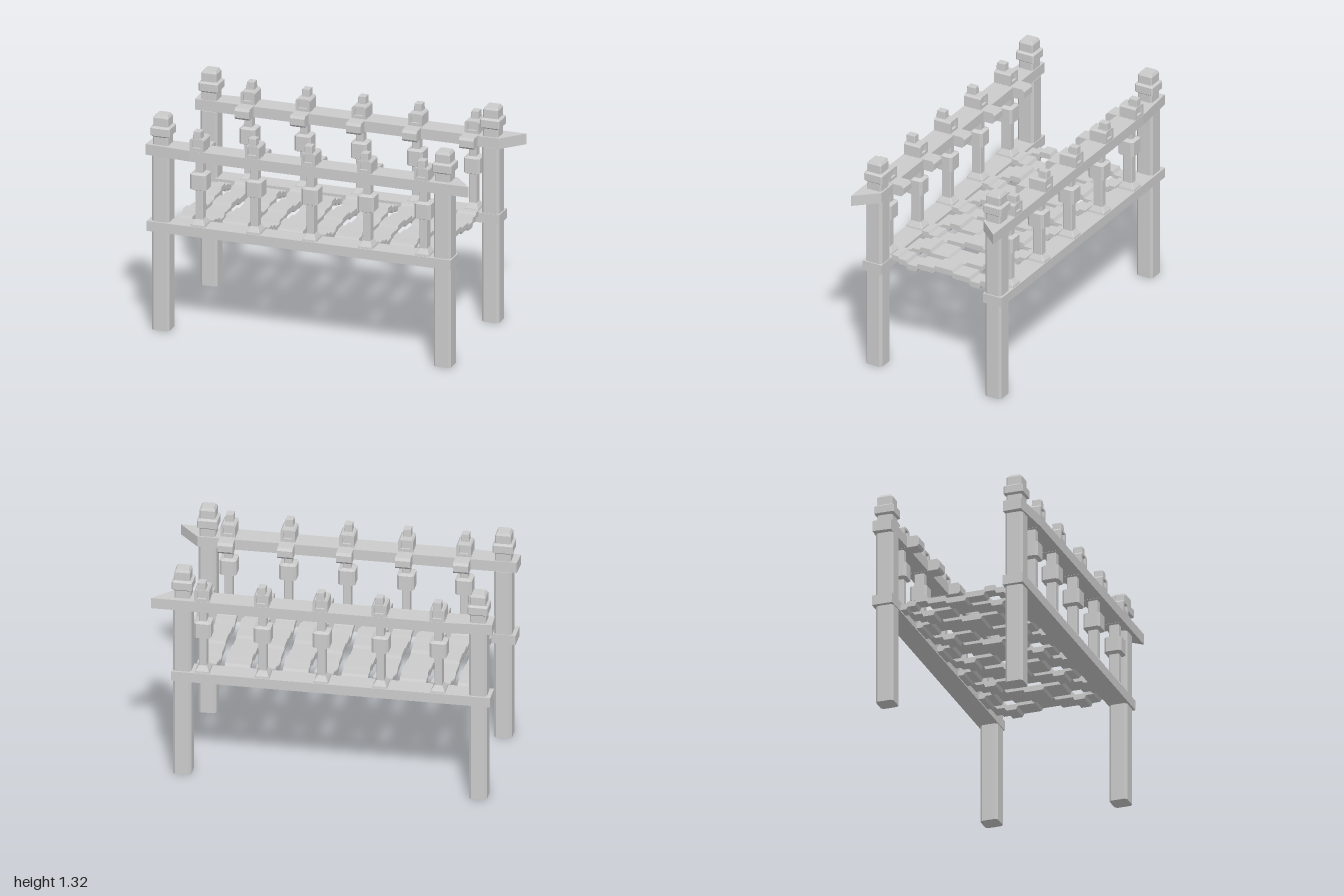
import * as THREE from 'three';

const material = new THREE.MeshStandardMaterial({ color: 0xcccccc, flatShading: true });

function add(parent, name, geometry, x = 0, y = 0, z = 0) {
  const mesh = new THREE.Mesh(geometry, material);
  mesh.name = name;
  mesh.position.set(x, y, z);
  parent.add(mesh);
  return mesh;
}

// Stack of chamfered rectangles: each ring is [y, halfWidth, halfDepth, chamfer]
function chamferedStack(rings) {
  const pos = [], index = [];
  for (const [y, w, d, c] of rings) {
    const ring = [[w, -d + c], [w, d - c], [w - c, d], [-w + c, d],
      [-w, d - c], [-w, -d + c], [-w + c, -d], [w - c, -d]];
    for (const [x, z] of ring) pos.push(x, y, z);
  }
  for (let i = 0; i < rings.length - 1; i++) {
    for (let j = 0; j < 8; j++) {
      const a = i * 8 + j, b = i * 8 + (j + 1) % 8;
      index.push(a, a + 8, b, b, a + 8, b + 8);
    }
  }
  const top = (rings.length - 1) * 8;
  for (let j = 1; j < 7; j++) index.push(0, j, j + 1, top, top + j + 1, top + j);
  const g = new THREE.BufferGeometry();
  g.setAttribute('position', new THREE.Float32BufferAttribute(pos, 3));
  g.setIndex(index);
  const flat = g.toNonIndexed();
  flat.computeVertexNormals();
  return flat;
}

const shapeOf = (pts) => new THREE.Shape(pts.map(([a, b]) => new THREE.Vector2(a, b)));
const extrude = (shape, depth) => new THREE.ExtrudeGeometry(shape, { depth, bevelEnabled: false });

// Outline given as [z, y], extruded along x and centred on it
function extrudeAlongX(pts, width) {
  const g = extrude(shapeOf(pts.map(([z, y]) => [-z, y])), width);
  g.translate(0, 0, -width / 2);
  g.rotateY(Math.PI / 2);
  return g;
}

// Woven slat: steps up and down across the bridge
function slatGeometry(width, sign) {
  const level = { end: -0.014 * sign, flat: 0, side: 0.02 * sign, mid: -0.016 * sign };
  const half = [[0.345, 'end'], [0.305, 'end'], [0.295, 'flat'], [0.25, 'flat'], [0.24, 'side'],
    [0.18, 'side'], [0.17, 'flat'], [0.065, 'flat'], [0.055, 'mid']];
  const line = [...half, ...half.slice().reverse().map(([z, k]) => [-z, k])];
  const top = line.map(([z, k]) => [z, 0.665 + level[k]]);
  const bottom = line.map(([z, k]) => [z, 0.631 + level[k]]).reverse();
  return extrudeAlongX([...top, ...bottom], width);
}

export function createModel() {
  const model = new THREE.Group();
  model.name = 'bridge';

  // Post with neck, collar and cap
  const postGeometry = chamferedStack([
    [0, 0.053, 0.054, 0.014], [1.07, 0.053, 0.054, 0.014],
    [1.07, 0.047, 0.047, 0.008], [1.185, 0.047, 0.047, 0.008],
    [1.195, 0.06, 0.06, 0.008], [1.24, 0.06, 0.06, 0.008],
    [1.25, 0.046, 0.046, 0.006], [1.3, 0.046, 0.046, 0.006], [1.316, 0.036, 0.036, 0.005],
  ]);

  // Baluster with flared foot and a thick block
  const balusterGeometry = chamferedStack([
    [0.66, 0.045, 0.055, 0.004], [0.68, 0.04, 0.052, 0.004], [0.71, 0.023, 0.03, 0.004],
    [0.885, 0.023, 0.03, 0.004], [0.895, 0.05, 0.052, 0.014],
    [0.985, 0.05, 0.052, 0.014], [0.995, 0.023, 0.03, 0.004], [1.08, 0.023, 0.03, 0.004],
  ]);

  // Rail-top block: square frame with a panel set back on both faces
  const frame = shapeOf([[-0.043, 0], [0.043, 0], [0.043, 0.068], [0.034, 0.078], [-0.034, 0.078], [-0.043, 0.068]]);
  frame.holes.push(new THREE.Path([[-0.026, 0.022], [-0.026, 0.064], [0.026, 0.064], [0.026, 0.022]]
    .map(([x, y]) => new THREE.Vector2(x, y))));
  const frameGeometry = extrude(frame, 0.11);
  frameGeometry.translate(0, 0, -0.055);
  const panelGeometry = new THREE.BoxGeometry(0.054, 0.044, 0.08);
  const knobGeometry = chamferedStack([[0, 0.024, 0.029, 0.003], [0.045, 0.022, 0.027, 0.003]]);

  // Chamfered bracket that crosses under each rail-top block
  const bracketGeometry = extrudeAlongX([[-0.102, -0.018], [-0.088, -0.033], [0.088, -0.033], [0.1, -0.02],
    [0.1, 0.02], [0.088, 0.035], [-0.088, 0.035], [-0.102, 0.02]], 0.09);

  for (const side of [1, -1]) {
    const half = new THREE.Group();
    half.name = side > 0 ? 'frontSide' : 'backSide';
    model.add(half);

    for (const x of [-0.908, 0.824]) add(half, 'post', postGeometry, x, 0, side * 0.397);

    // Handrail: narrowed at one end, cut to a point at the other
    const rail = extrude(shapeOf([[-0.99, 0.345], [0.88, 0.34], [1, 0.475], [-0.72, 0.475], [-0.995, 0.455]]
      .map(([x, z]) => [x, side * z])), 0.065);
    rail.rotateX(Math.PI / 2);
    add(half, 'handrail', rail, 0, 1.137, 0);

    add(half, 'lowerRail', new THREE.BoxGeometry(1.87, 0.06, 0.125), -0.05, 0.638, side * 0.401);

    for (const x of [-0.675, -0.335, 0.01, 0.355, 0.705]) {
      const baluster = new THREE.Group();
      baluster.name = 'baluster';
      baluster.position.set(x, 0, 0);
      half.add(baluster);
      add(baluster, 'balusterShaft', balusterGeometry, 0, 0, side * 0.405);
      add(baluster, 'bracket', bracketGeometry, 0, 1.104, side * 0.372);
      add(baluster, 'blockFrame', frameGeometry, 0, 1.135, side * 0.418);
      add(baluster, 'blockPanel', panelGeometry, 0, 1.178, side * 0.418);
      add(baluster, 'knob', knobGeometry, 0, 1.211, side * 0.44);
    }
  }

  // Floor of alternating woven slats
  const slats = [[-0.845, -0.765], [-0.73, -0.615], [-0.58, -0.425], [-0.39, -0.275], [-0.24, -0.085],
    [-0.045, 0.07], [0.11, 0.26], [0.295, 0.41], [0.45, 0.6], [0.64, 0.755]];
  slats.forEach(([x0, x1], i) => {
    add(model, 'floorSlat', slatGeometry(x1 - x0, i % 2 ? -1 : 1), (x0 + x1) / 2, 0, 0);
  });

  return model;
}
